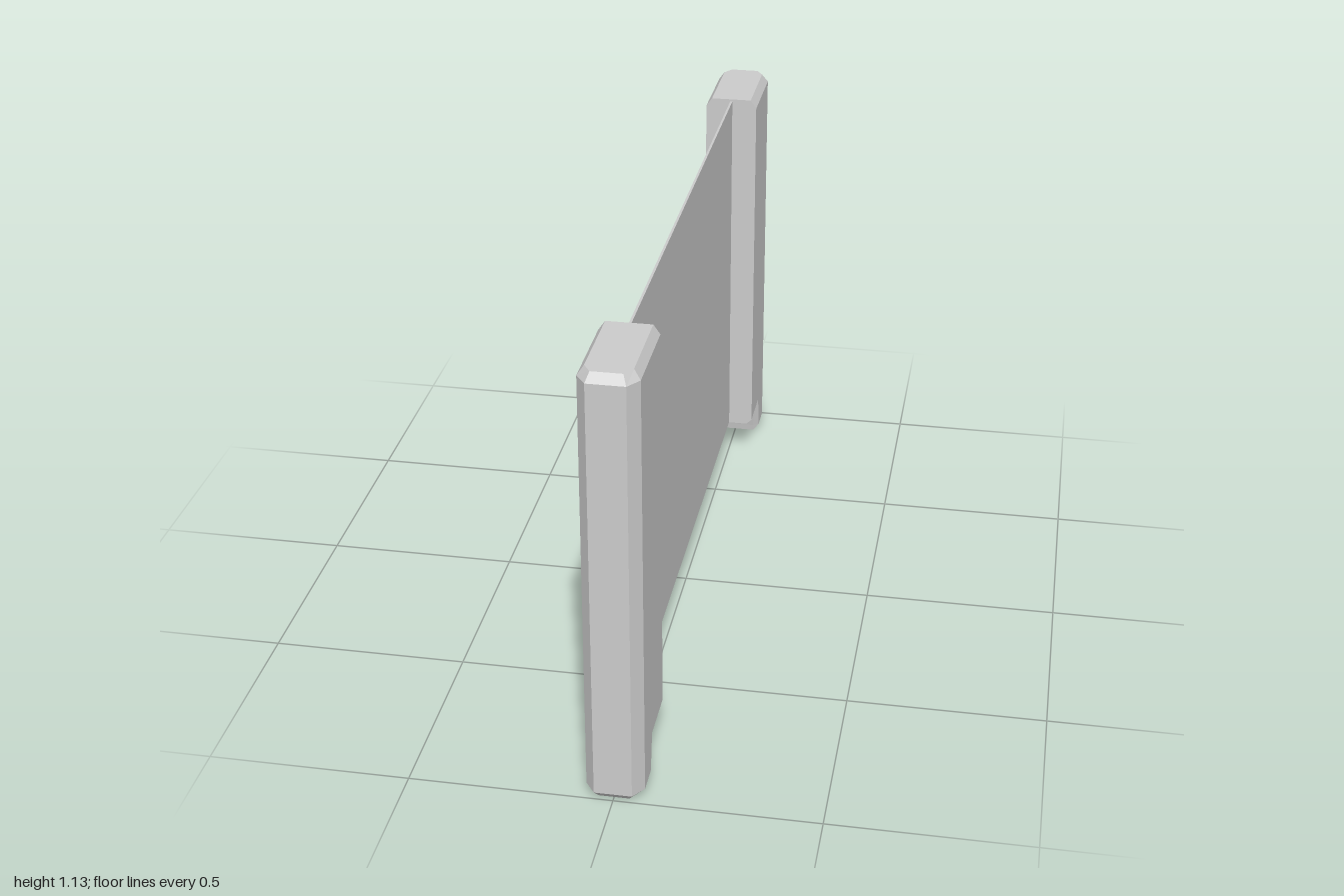
import * as THREE from 'three';

const HEIGHT = 1.128, INNER = 0.735;

// Bevelled post with a notched foot, lofted upwards through eight-sided rings.
// Each row holds one half of a ring: outer face, side front, notch edge, inner edge.
function postGeometry() {
  const outer = y => [[0.046, y, 1], [0.071, y, 0.965]];
  const rows = [
    [[0.037, 0, 0.985], [0.055, 0, 0.957], [0.055, 0, 0.884], [0.055, 0, 0.884]],
    [...outer(0.018), [0.071, 0.018, 0.892], [0.055, 0.018, 0.881]],
    [...outer(0.115), [0.071, 0.115, 0.873], [0.055, 0.1, 0.864]],
    [...outer(0.115), [0.071, 0.115, 0.873], [0.055, 0.1, INNER]],
    [...outer(0.115), [0.071, 0.115, 0.873], [0.071, 0.115, INNER]],
    [...outer(1.105), [0.071, 1.105, 0.873], [0.071, 1.105, INNER]],
    [[0.037, HEIGHT, 0.985], [0.055, HEIGHT, 0.957], [0.055, HEIGHT, 0.873], [0.055, HEIGHT, INNER]],
  ];
  const rings = rows.map(half => [...half, ...half.map(([x, y, z]) => [-x, y, z]).reverse()]
    .map(p => new THREE.Vector3(...p)));

  const positions = [];
  const tri = (a, b, c) => {
    const area = b.clone().sub(a).cross(c.clone().sub(a)).length();
    if (area > 1e-8) for (const p of [a, b, c]) positions.push(p.x, p.y, p.z);
  };
  // walls
  for (let i = 0; i < rings.length - 1; i++) {
    const low = rings[i], high = rings[i + 1];
    for (let j = 0; j < 8; j++) {
      const k = (j + 1) % 8;
      tri(low[j], low[k], high[k]);
      tri(low[j], high[k], high[j]);
    }
  }
  // end caps
  const bottom = rings[0], top = rings[rings.length - 1];
  for (let j = 1; j < 7; j++) {
    tri(bottom[0], bottom[j + 1], bottom[j]);
    tri(top[0], top[j], top[j + 1]);
  }
  const geometry = new THREE.BufferGeometry();
  geometry.setAttribute('position', new THREE.Float32BufferAttribute(positions, 3));
  geometry.computeVertexNormals();
  return geometry;
}

export function createModel() {
  const model = new THREE.Group();
  model.name = 'barrierPanel';
  const material = new THREE.MeshStandardMaterial({ color: 0xcccccc, flatShading: true });

  // matching posts at both ends
  const geometry = postGeometry();
  ['frontPost', 'backPost'].forEach((name, i) => {
    const post = new THREE.Mesh(geometry, material);
    post.name = name;
    post.rotation.y = i * Math.PI;
    model.add(post);
  });

  // thin panel between the posts
  const low = 0.102, high = 1.122;
  const panel = new THREE.Mesh(new THREE.BoxGeometry(0.006, high - low, 2 * INNER), material);
  panel.name = 'panel';
  panel.position.y = (low + high) / 2;
  model.add(panel);

  return model;
}
